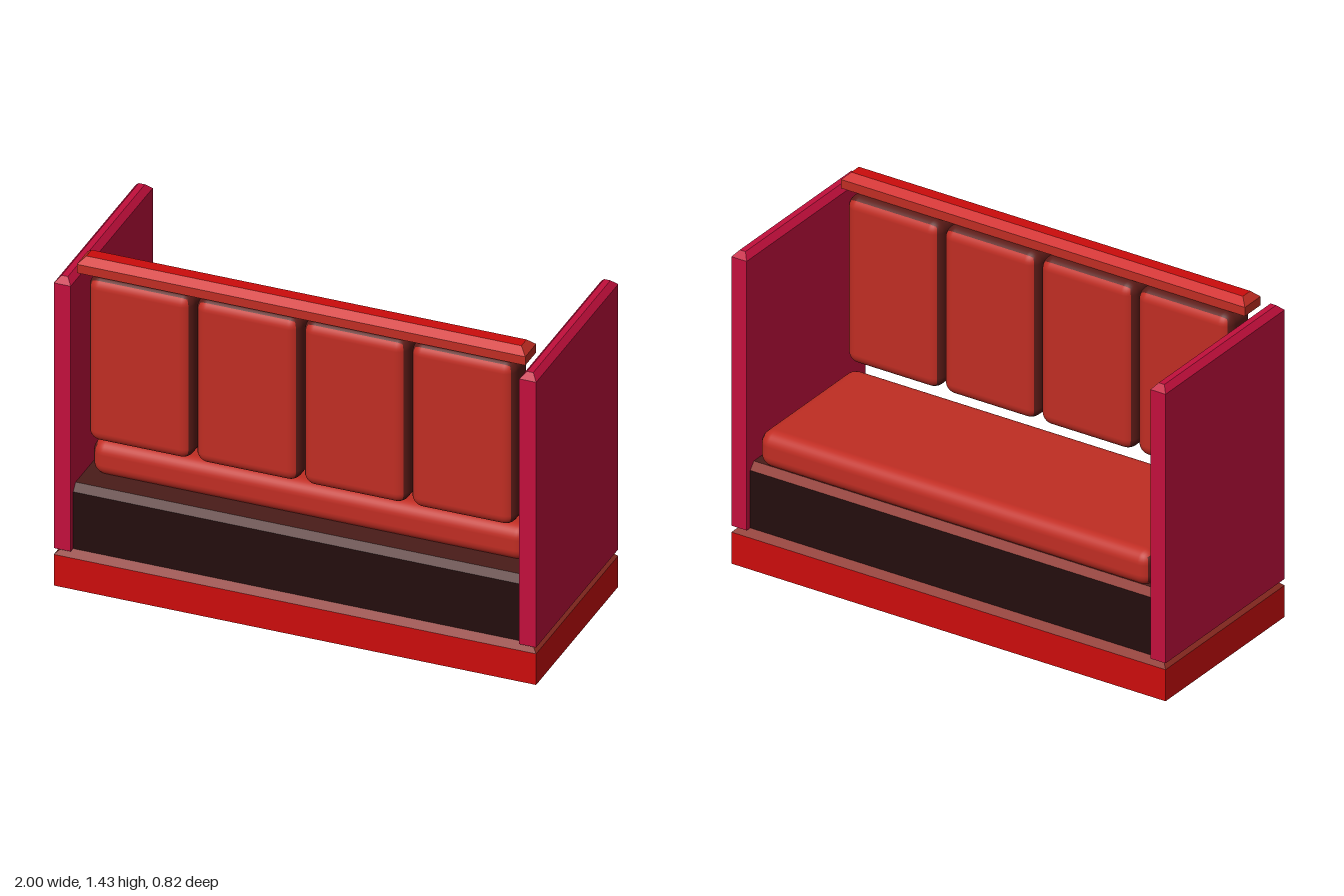
import * as THREE from 'three';
import { RoundedBoxGeometry } from 'three/addons/geometries/RoundedBoxGeometry.js';

const mat = (name, color) => {
  const m = new THREE.MeshStandardMaterial({ color });
  m.name = name;
  return m;
};

export function createModel() {
  const group = new THREE.Group();
  const red = mat('bright red', 0xcc0c0c);
  const crimson = mat('crimson', 0xc20f3c);
  const cushion = mat('cushion red', 0xc02d23);
  const seam = mat('cushion side', 0x5c1b17);
  const dark = mat('dark wood', 0x240d0d);
  const edge = mat('dark wood edge', 0x4a1c19);
  const trim = mat('brown red trim', 0x8a2a20);

  const add = (name, geometry, material, x, y, z) => {
    const mesh = new THREE.Mesh(geometry, material);
    mesh.name = name;
    mesh.position.set(x, y, z);
    group.add(mesh);
    return mesh;
  };

  // Box from y0 to y1 whose top is finished with a chamfered cap
  const chamferedBlock = (name, w, d, y0, y1, cx, cz, insetX, insetZ, h, body, cap) => {
    const bodyH = y1 - y0 - h;
    add(name, new THREE.BoxGeometry(w, bodyH, d), body, cx, y0 + bodyH / 2, cz);
    const g = new THREE.BoxGeometry(w, h, d);
    const p = g.attributes.position;
    for (let i = 0; i < p.count; i++) {
      if (p.getY(i) < 0) continue;
      p.setX(i, p.getX(i) - Math.sign(p.getX(i)) * insetX);
      p.setZ(i, p.getZ(i) - Math.sign(p.getZ(i)) * insetZ);
    }
    g.computeVertexNormals();
    add(name + 'Chamfer', g, cap, cx, y1 - h / 2, cz);
  };

  // Plinth and dark seat box
  chamferedBlock('plinth', 2, 0.82, 0, 0.165, 0, 0, 0.03, 0.03, 0.028, red, trim);
  chamferedBlock('seatBox', 1.86, 0.77, 0.165, 0.445, 0, 0, 0, 0.025, 0.03, dark,
    [edge, edge, edge, edge, edge, trim]);

  // Tall side panels
  for (const s of [1, -1]) {
    chamferedBlock(s > 0 ? 'leftPanel' : 'rightPanel', 0.07, 0.82, 0.165, 1.36,
      s * 0.965, 0, 0.022, 0.025, 0.025, crimson, crimson);
  }

  // Seat cushion
  add('seatCushion', new RoundedBoxGeometry(1.81, 0.155, 0.66, 4, 0.055),
    [seam, seam, cushion, cushion, cushion, cushion], 0, 0.5125, -0.05);

  // Row of four back cushions
  for (let i = 0; i < 4; i++) {
    add('backCushion' + (i + 1), new RoundedBoxGeometry(0.434, 0.727, 0.17, 4, 0.05),
      [seam, seam, seam, seam, cushion, cushion], (i - 1.5) * 0.446, 0.9985, 0.28);
  }

  // Top rail
  chamferedBlock('topRail', 1.86, 0.108, 1.362, 1.428, 0, 0.295, 0.028, 0.028, 0.028,
    cushion, [cushion, cushion, red, red, red, red]);

  return group;
}
